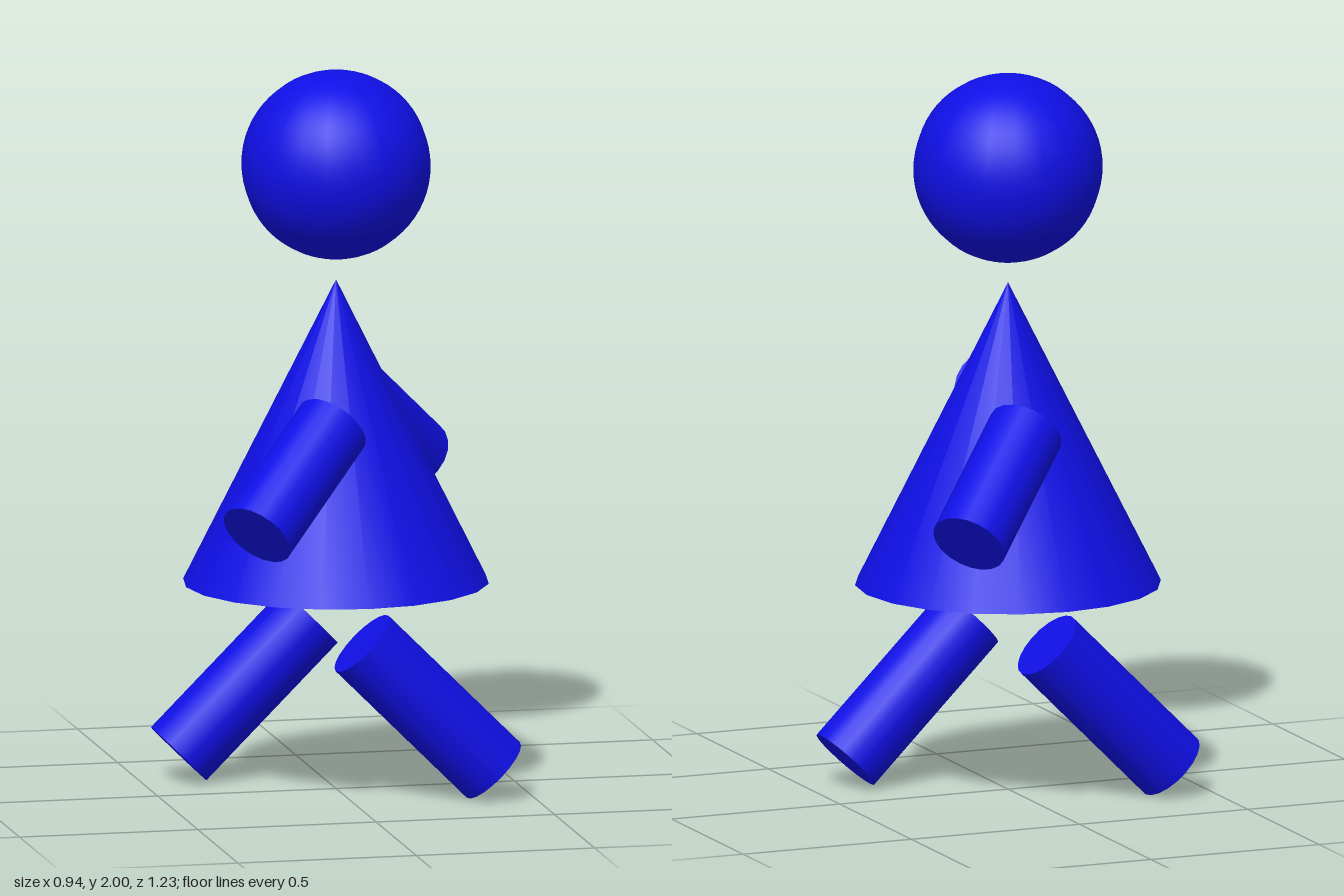
import * as THREE from 'three';

const SIDES = 20;

export function createModel() {
  const model = new THREE.Group();
  model.name = 'figure';
  const blue = new THREE.MeshStandardMaterial({ color: 0x0f0fe6 });

  const add = (parent, name, geometry, x, y, z) => {
    const mesh = new THREE.Mesh(geometry, blue);
    mesh.name = name;
    mesh.position.set(x, y, z);
    parent.add(mesh);
    return mesh;
  };

  // Head and cone-shaped dress
  add(model, 'head', new THREE.SphereGeometry(0.26, SIDES, 32), 0, 1.74, 0);
  add(model, 'dress', new THREE.ConeGeometry(0.42, 0.84, SIDES), 0, 1.0, 0);

  // Limbs: each pair repeats by a half turn about the upright axis
  const limb = (parent, name, length, centre, direction) => {
    const geometry = new THREE.CylinderGeometry(0.105, 0.105, length, SIDES);
    const mesh = add(parent, name, geometry, ...centre);
    mesh.quaternion.setFromUnitVectors(
      new THREE.Vector3(0, 1, 0), new THREE.Vector3(...direction).normalize());
  };
  ['front', 'back'].forEach((end, i) => {
    const half = new THREE.Group();
    half.name = end + 'Limbs';
    half.rotation.y = i * Math.PI;
    limb(half, end + 'Arm', 0.42, [-0.21, 0.947, 0.42], [0.615, 0.605, -0.5]);
    limb(half, end + 'Leg', 0.52, [0.21, 0.26, 0.21], [-1, 1, 0]);
    model.add(half);
  });

  return model;
}
